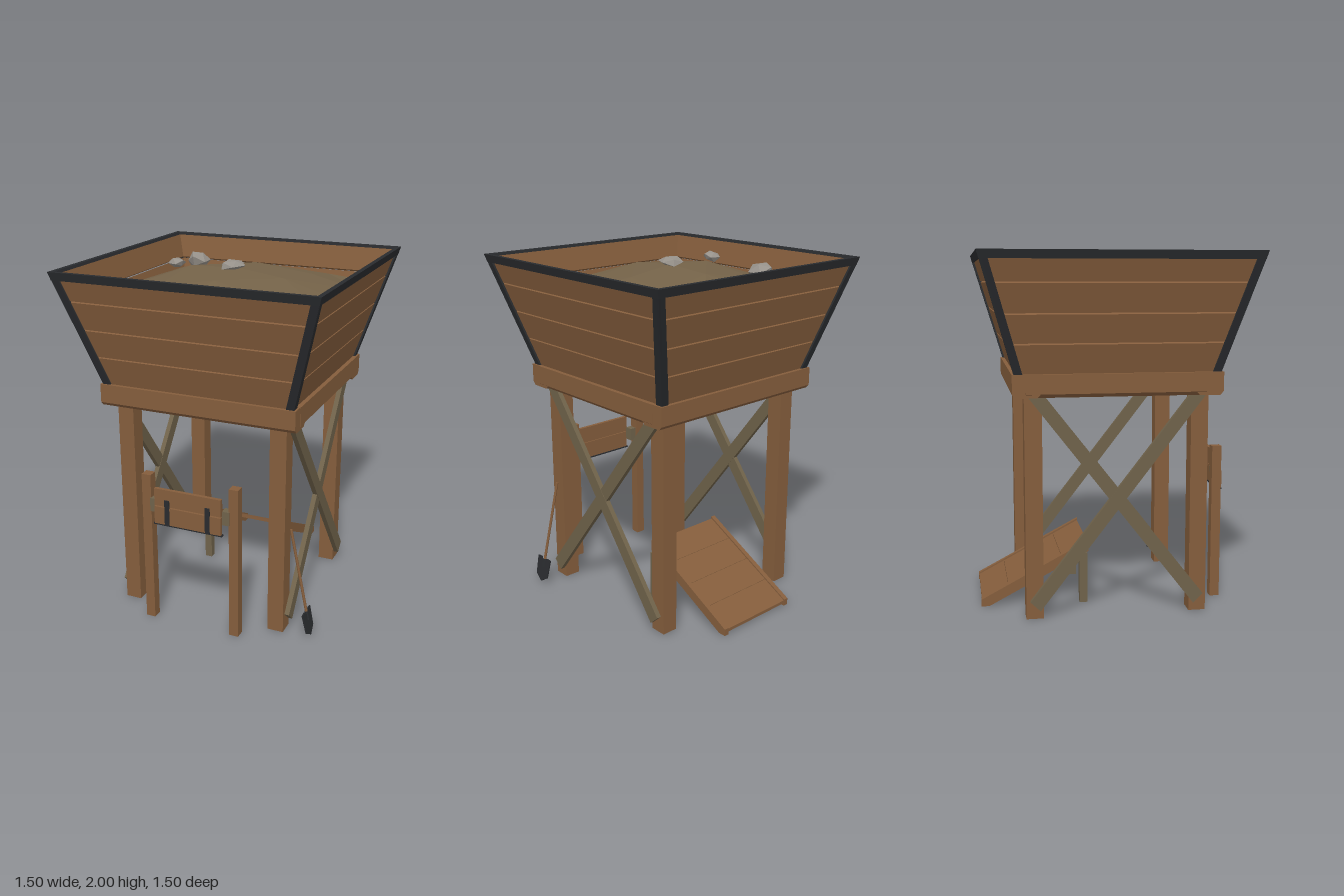
import * as THREE from 'three';

const mat = (name, color, extra = {}) =>
  Object.assign(new THREE.MeshStandardMaterial({ color, flatShading: true, ...extra }), { name });

export function createModel() {
  const wood = mat('wood', 0x845d3c);
  const oldWood = mat('weathered wood', 0x6f624a);
  const metal = mat('dark metal', 0x292b2e);
  const dirtMat = mat('dirt', 0x746248, { side: THREE.DoubleSide });
  const stoneMat = mat('stone', 0x96918a);

  const root = new THREE.Group();
  root.name = 'hopperTower';
  const add = (name, geo, material, parent = root) => {
    const m = new THREE.Mesh(geo, material);
    m.name = name;
    parent.add(m);
    return m;
  };
  // box given by its limits
  const box = (name, material, x0, x1, y0, y1, z0, z1) =>
    add(name, new THREE.BoxGeometry(x1 - x0, y1 - y0, z1 - z0)
      .translate((x0 + x1) / 2, (y0 + y1) / 2, (z0 + z1) / 2), material);
  // profile of [z, y] points swept from x0 to x1
  const sweepX = (pts, x0, x1) => {
    const shape = new THREE.Shape(pts.map(([z, y]) => new THREE.Vector2(-z, y)));
    return new THREE.ExtrudeGeometry(shape, { depth: x1 - x0, bevelEnabled: false })
      .rotateY(Math.PI / 2).translate(x0, 0, 0);
  };
  // square ring with a sloped section of [halfWidth, y] points
  const squareRing = pts => {
    const p = [...pts, pts[0]].map(([h, y]) => new THREE.Vector2(h * Math.SQRT2, y));
    const g = new THREE.LatheGeometry(p, 4).rotateY(Math.PI / 4).toNonIndexed();
    g.computeVertexNormals();
    return g;
  };

  // hopper walls: four rings of sloped planks
  const Y0 = 1.36, Y1 = 2;
  const half = y => 0.55 + (0.185 * (y - Y0)) / (Y1 - Y0);
  const cuts = [1.355, 1.52, 1.678, 1.838, 1.98];
  const T = 0.022, RISE = 0.011;
  for (let i = 0; i < 4; i++) {
    const a = cuts[i] + (i ? 0.004 : 0), b = cuts[i + 1] - 0.004;
    add('hopperPlanks', squareRing([[half(a), a], [half(b), b],
      [half(b + RISE) - T, b + RISE], [half(a + RISE) - T, a + RISE]]), wood);
  }
  // metal rim
  add('hopperRim', squareRing([[0.736, 1.955], [0.748, 2], [0.722, 2], [0.711, 1.965]]), metal);
  // metal corner strips, two on each wall
  const slope = Math.atan2(0.185, Y1 - Y0), len = (Y1 - Y0) / Math.cos(slope);
  for (let k = 0; k < 4; k++) {
    const wall = new THREE.Group();
    wall.name = 'cornerStrips';
    wall.rotation.y = (k * Math.PI) / 2;
    root.add(wall);
    for (const s of [-1, 1]) {
      const b = half(Y0) + 0.01, t = half(Y1) + 0.01;
      const shape = new THREE.Shape([[b - 0.045, 0], [b, 0], [t, len - 0.01], [t - 0.045, len - 0.01]]
        .map(([x, y]) => new THREE.Vector2(s * x, y)));
      const g = new THREE.ExtrudeGeometry(shape, { depth: 0.014, bevelEnabled: false })
        .translate(0, 0, -0.003).rotateX(slope).translate(0, Y0, half(Y0));
      add('cornerStrip', g, metal, wall);
    }
  }

  // dirt fill: coarse mound with alternating diagonals
  const heights = [
    0, 0.01, 0.01, 0.03, 0,
    0.01, 0.09, 0.14, 0.09, 0.01,
    0.02, 0.15, 0.16, 0.12, 0.01,
    0.02, 0.09, 0.14, 0.07, 0.0,
    0, 0, 0, 0, 0];
  const dirt = new THREE.PlaneGeometry(1.32, 1.32, 4, 4).rotateX(-Math.PI / 2);
  const dp = dirt.attributes.position;
  heights.forEach((h, i) => {
    const pull = h >= 0.12 ? 0.87 : 1;
    dp.setXYZ(i, dp.getX(i) * pull, 1.79 + h, dp.getZ(i) * pull);
  });
  const faces = [];
  for (let r = 0; r < 4; r++) {
    for (let c = 0; c < 4; c++) {
      const a = r * 5 + c, b = a + 5, e = a + 6, d = a + 1;
      faces.push(...((r + c) % 2 ? [a, b, e, a, e, d] : [a, b, d, b, e, d]));
    }
  }
  dirt.setIndex(faces);
  dirt.computeVertexNormals();
  add('dirtFill', dirt, dirtMat);

  // loose stones: [x, y, z, radius, flatness]
  [[-0.4, 1.905, -0.335, 0.075, 0.75], [-0.36, 1.955, 0.03, 0.052, 0.6], [-0.02, 1.965, 0.01, 0.08, 0.42]]
    .forEach(([x, y, z, r, flat], k) => {
      const g = new THREE.IcosahedronGeometry(r, 0);
      const p = g.attributes.position;
      for (let i = 0; i < p.count; i++) {
        const f = 1 + 0.16 * Math.sin(p.getX(i) * 70 + p.getY(i) * 45 + p.getZ(i) * 90 + k * 2);
        p.setXYZ(i, p.getX(i) * f * 0.9, p.getY(i) * f * flat, p.getZ(i) * f);
      }
      const m = add('stone', g, stoneMat);
      m.position.set(x, y, z);
      m.rotation.y = k * 1.3;
    });

  // chamfered beams under the hopper
  const section = (i, o) => [[i, 1.36], [i, 1.255], [i + 0.02, 1.235], [o - 0.02, 1.235], [o, 1.255], [o, 1.36]];
  for (const r of [0, Math.PI]) {
    add('crossBeam', sweepX(section(0.42, 0.572), -0.573, 0.573).rotateY(r), wood);
    add('sideBeam', sweepX(section(0.42, 0.575), -0.5, 0.5).rotateY(r + Math.PI / 2), wood);
  }

  // legs and crossed side braces
  const brace = [[0.49, 1.24], [0.4, 1.24], [-0.485, 0.105], [-0.43, 0.052]];
  for (const s of [-1, 1]) {
    for (const f of [-1, 1]) {
      const lx = s * 0.457, lz = f * 0.458;
      box('leg', wood, lx - 0.047, lx + 0.047, 0, 1.25, lz - 0.048, lz + 0.048);
      const off = f > 0 ? 0.002 : 0;
      const x = s > 0 ? 0.504 + off : -0.532 - off;
      add('brace', sweepX(brace.map(([z, y]) => [z * f, y]), x, x + 0.028), oldWood);
    }
  }

  // front hatch: posts, brackets, two boards and straps
  for (const s of [-1, 1]) {
    box('hatchPost', wood, s * 0.2625 - 0.0275, s * 0.2625 + 0.0275, 0, 0.9, 0.595, 0.65);
    box('hatchBracket', oldWood, s * 0.217 - 0.022, s * 0.217 + 0.022, 0.685, 0.765, 0.605, 0.656);
    box('hatchStrap', metal, s * 0.122 - 0.014, s * 0.122 + 0.014, 0.63, 0.78, 0.676, 0.684);
  }
  box('upperBoard', wood, -0.2, 0.2, 0.74, 0.84, 0.655, 0.677);
  box('lowerBoard', wood, -0.2, 0.2, 0.63, 0.734, 0.66, 0.68);
  box('hatchLip', metal, -0.207, 0.207, 0.624, 0.631, 0.655, 0.68);

  // rear ramp: four boards between side rails, on two short legs
  const rail = [[-0.125, 0.365], [-0.125, 0.3], [-0.7, 0], [-0.745, 0], [-0.745, 0.04]];
  const topY = z => 0.354 + (z + 0.125) * 0.52;
  for (let i = 0; i < 4; i++) {
    const z0 = -0.128 - i * 0.154, z1 = z0 - 0.152;
    add('rampBoard', sweepX([[z0, topY(z0)], [z0, topY(z0) - 0.018], [z1, topY(z1) - 0.018], [z1, topY(z1)]],
      -0.236, 0.236), wood);
  }
  for (const s of [-1, 1]) {
    add('rampRail', sweepX(rail, s * 0.248 - 0.014, s * 0.248 + 0.014), wood);
    box('rampLeg', oldWood, s * 0.258 - 0.022, s * 0.258 + 0.022, 0, 0.295, -0.18, -0.135);
  }

  // shovel leaning on the left side
  const shovel = new THREE.Group();
  shovel.name = 'shovel';
  shovel.position.set(0.657, 0.002, 0.466);
  shovel.rotation.z = 0.215;
  root.add(shovel);
  const blade = [[0, 0], [0.055, 0.035], [0.062, 0.15], [0.025, 0.152], [0.018, 0.135],
    [-0.018, 0.135], [-0.025, 0.152], [-0.062, 0.15], [-0.055, 0.035]];
  add('shovelBlade', sweepX(blade, -0.004, 0.004), metal, shovel);
  const grip = new THREE.Group();
  grip.name = 'shovelGrip';
  grip.rotation.x = -0.025;
  shovel.add(grip);
  add('shovelSocket', new THREE.CylinderGeometry(0.01, 0.012, 0.05, 6).translate(0, 0.12, 0), metal, grip);
  add('shovelHandle', new THREE.CylinderGeometry(0.008, 0.008, 0.51, 6).translate(0, 0.385, 0), wood, grip);

  return root;
}
